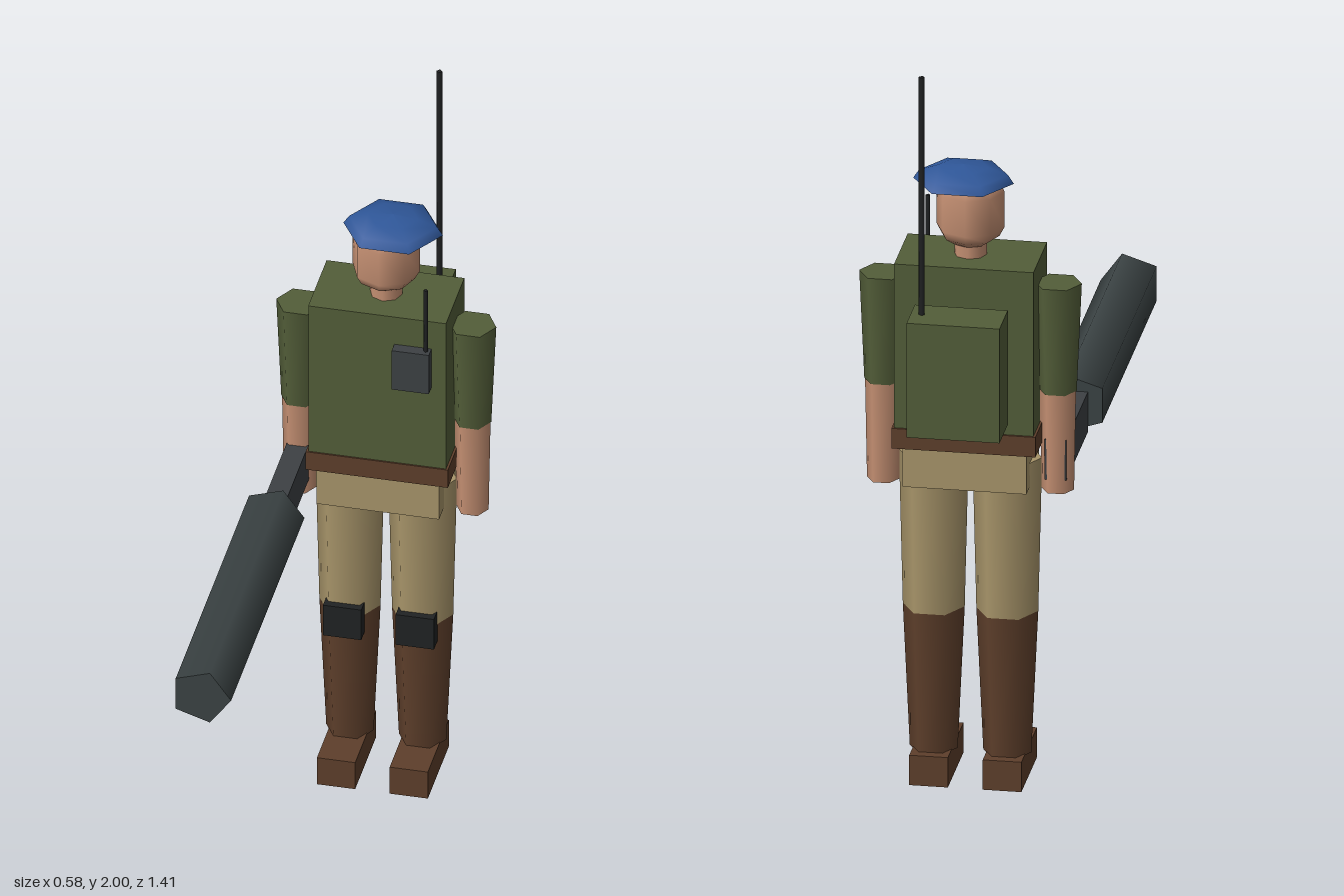
import * as THREE from 'three';

const mat = (name, color) => Object.assign(new THREE.MeshStandardMaterial({ color }), { name });

export function createModel() {
  const model = new THREE.Group();
  model.name = 'soldier';

  const green = mat('olive green', 0x535e39);
  const tan = mat('khaki tan', 0xa8956a);
  const skin = mat('skin', 0xc48f72);
  const brown = mat('leather brown', 0x5e3f2b);
  const blue = mat('beret blue', 0x2f5799);
  const metal = mat('gun grey', 0x3b4344);
  const dark = mat('stock grey', 0x3d4144);
  const black = mat('black', 0x202223);

  const Z = -0.435; // body axis

  const add = (name, geometry, material, x, y, z) => {
    const mesh = new THREE.Mesh(geometry, material);
    mesh.name = name;
    mesh.position.set(x, y, z);
    model.add(mesh);
    return mesh;
  };
  // Box given by its lower and upper corners
  const box = (name, material, [x0, y0, z0], [x1, y1, z1]) =>
    add(name, new THREE.BoxGeometry(x1 - x0, y1 - y0, z1 - z0), material,
      (x0 + x1) / 2, (y0 + y1) / 2, (z0 + z1) / 2);
  // Upright tapered prism between two heights
  const limb = (name, material, x, z, y0, y1, r0, r1, sides = 6) =>
    add(name, new THREE.CylinderGeometry(r1, r0, y1 - y0, sides, 1, false, Math.PI / 2),
      material, x, (y0 + y1) / 2, z);
  const lathe = (points, sides) =>
    new THREE.LatheGeometry(points.map(p => new THREE.Vector2(...p)), sides, Math.PI / 2);

  // Trunk
  box('torso', green, [-0.18, 0.985, -0.54], [0.18, 1.44, -0.33]);
  box('belt', brown, [-0.186, 0.935, -0.546], [0.186, 0.99, -0.326]);
  box('pelvis', tan, [-0.16, 0.825, -0.53], [0.16, 0.937, -0.338]);

  // Arms and legs, mirrored
  for (const s of [-1, 1]) {
    const side = s > 0 ? 'left' : 'right';
    limb(side + 'Sleeve', green, s * 0.2255, Z, 1.08, 1.375, 0.049, 0.062);
    limb(side + 'Forearm', skin, s * 0.2255, Z, 0.808, 1.08, 0.042, 0.047);
    const x = s * 0.095;
    limb(side + 'Thigh', tan, x, Z, 0.468, 0.89, 0.08, 0.09);
    limb(side + 'BootShaft', brown, x, Z, 0.078, 0.468, 0.062, 0.08);
    box(side + 'Shoe', brown, [x - 0.05, 0, -0.516], [x + 0.05, 0.082, -0.276]);
    box(side + 'KneePad', black, [x - 0.05, 0.415, -0.385], [x + 0.05, 0.508, -0.345]);
  }

  // Neck, head and beret
  limb('neck', skin, 0, Z, 1.43, 1.5, 0.042, 0.042, 8);
  add('head', lathe([[0, 1.465], [0.045, 1.473], [0.075, 1.493], [0.088, 1.518],
    [0.088, 1.615], [0.073, 1.645], [0, 1.66]], 8), skin, 0, 0, Z);
  const beret = add('beret', lathe([[0.13, 0], [0.115, 0.023], [0.065, 0.04], [0, 0.046]], 6),
    blue, 0.018, 1.638, Z);
  beret.scale.z = 0.91;
  const brim = add('beretUnderside', new THREE.CircleGeometry(0.13, 6), blue, 0.018, 1.638, Z);
  brim.rotation.x = Math.PI / 2;
  brim.scale.y = 0.91;

  // Backpack radio with its tall aerial
  box('backpack', green, [-0.12, 1.033, -0.705], [0.12, 1.347, -0.577]);
  limb('backpackAerial', black, 0.092, -0.64, 1.34, 2, 0.008, 0.008, 4);

  // Chest radio
  box('chestRadio', dark, [0.045, 1.236, -0.335], [0.142, 1.356, -0.3]);
  limb('chestRadioAerial', black, 0.13, -0.317, 1.35, 1.545, 0.006, 0.006, 4);

  // Launcher held in the right hand
  const tube = add('launcherTube',
    new THREE.CylinderGeometry(0.08, 0.08, 0.84, 5, 1, false, Math.PI / 2),
    metal, -0.2255, 0.92, 0.285);
  tube.rotation.x = Math.PI / 2;
  box('launcherGrip', dark, [-0.253, 0.845, -0.47], [-0.197, 0.955, -0.13]);

  return model;
}
